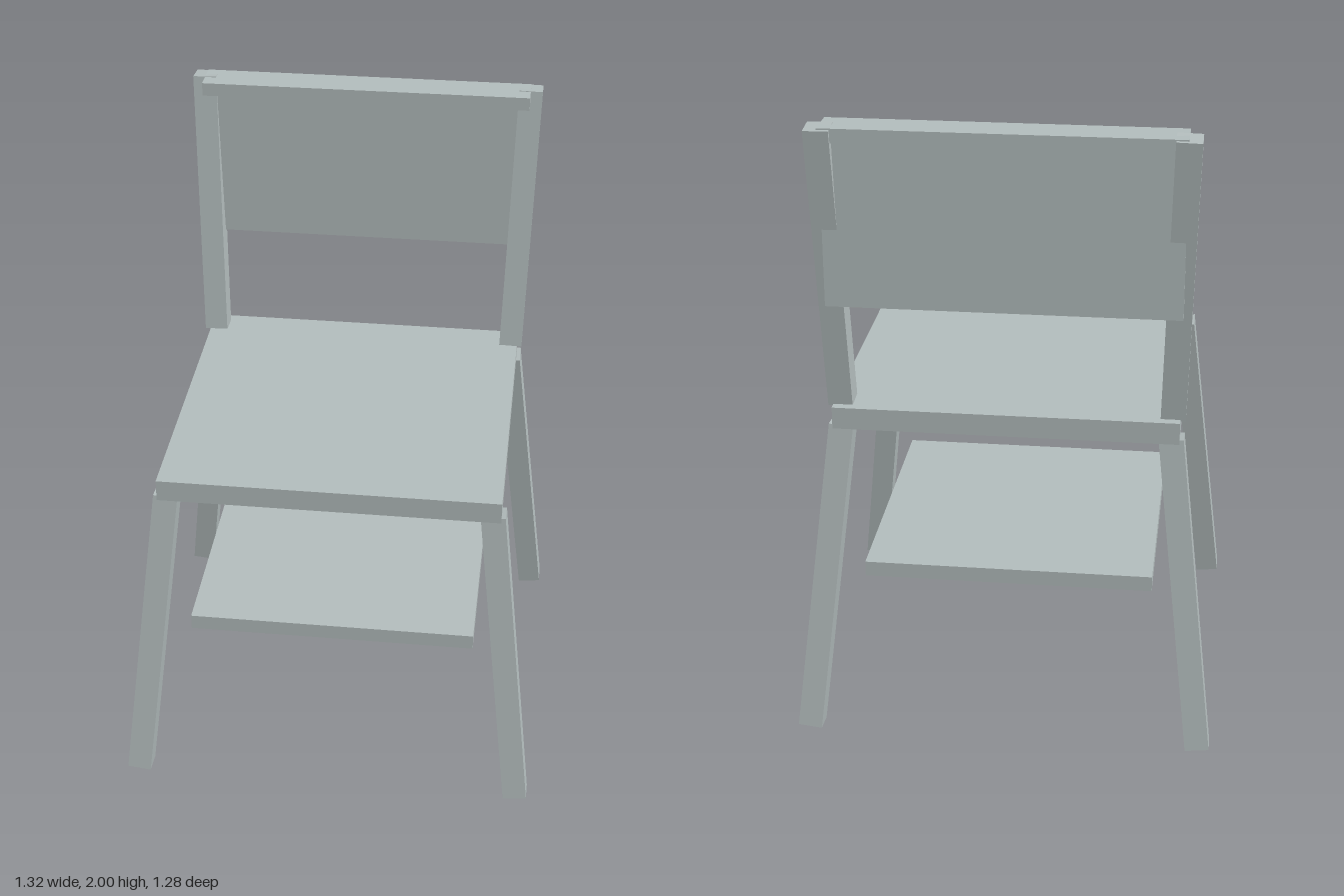
import * as THREE from 'three';

const paint = new THREE.MeshStandardMaterial({ color: 0xb4bebe });
paint.name = 'pale grey';

// Axis-aligned board given by its width and its y and z ranges
function board(name, width, y0, y1, z0, z1) {
  const mesh = new THREE.Mesh(new THREE.BoxGeometry(width, y1 - y0, z1 - z0), paint);
  mesh.name = name;
  mesh.position.set(0, (y0 + y1) / 2, (z0 + z1) / 2);
  return mesh;
}

// Square bar leaning from the centre of its lower end to that of its upper end
function bar(name, from, to, size) {
  const a = new THREE.Vector3(...from);
  const b = new THREE.Vector3(...to);
  const axis = b.clone().sub(a);
  const mesh = new THREE.Mesh(new THREE.BoxGeometry(size, axis.length(), size), paint);
  mesh.name = name;
  mesh.position.copy(a).add(b).multiplyScalar(0.5);
  mesh.quaternion.setFromUnitVectors(new THREE.Vector3(0, 1, 0), axis.normalize());
  return mesh;
}

export function createModel() {
  const chair = new THREE.Group();
  chair.name = 'chair';

  // Seat and the shelf below it
  chair.add(board('seat', 1.066, 1.03, 1.1, -0.53, 0.53));
  chair.add(board('shelf', 0.92, 0.48, 0.53, -0.46, 0.46));

  // Backrest panel and top rail
  chair.add(board('backPanel', 1.066, 1.445, 1.96, -0.56, -0.515));
  chair.add(board('topRail', 1.066, 1.955, 1.998, -0.58, -0.462));

  for (const [side, s] of [['left', 1], ['right', -1]]) {
    // Splayed legs
    for (const [end, e] of [['Front', 1], ['Back', -1]]) {
      chair.add(bar(side + end + 'Leg', [s * 0.624, 0.009, e * 0.601], [s * 0.508, 1.034, e * 0.485], 0.076));
    }
    // Backrest post, leaning back and slightly outward
    chair.add(bar(side + 'BackPost', [s * 0.511, 1.1, -0.463], [s * 0.534, 1.996, -0.553], 0.076));
  }
  return chair;
}
